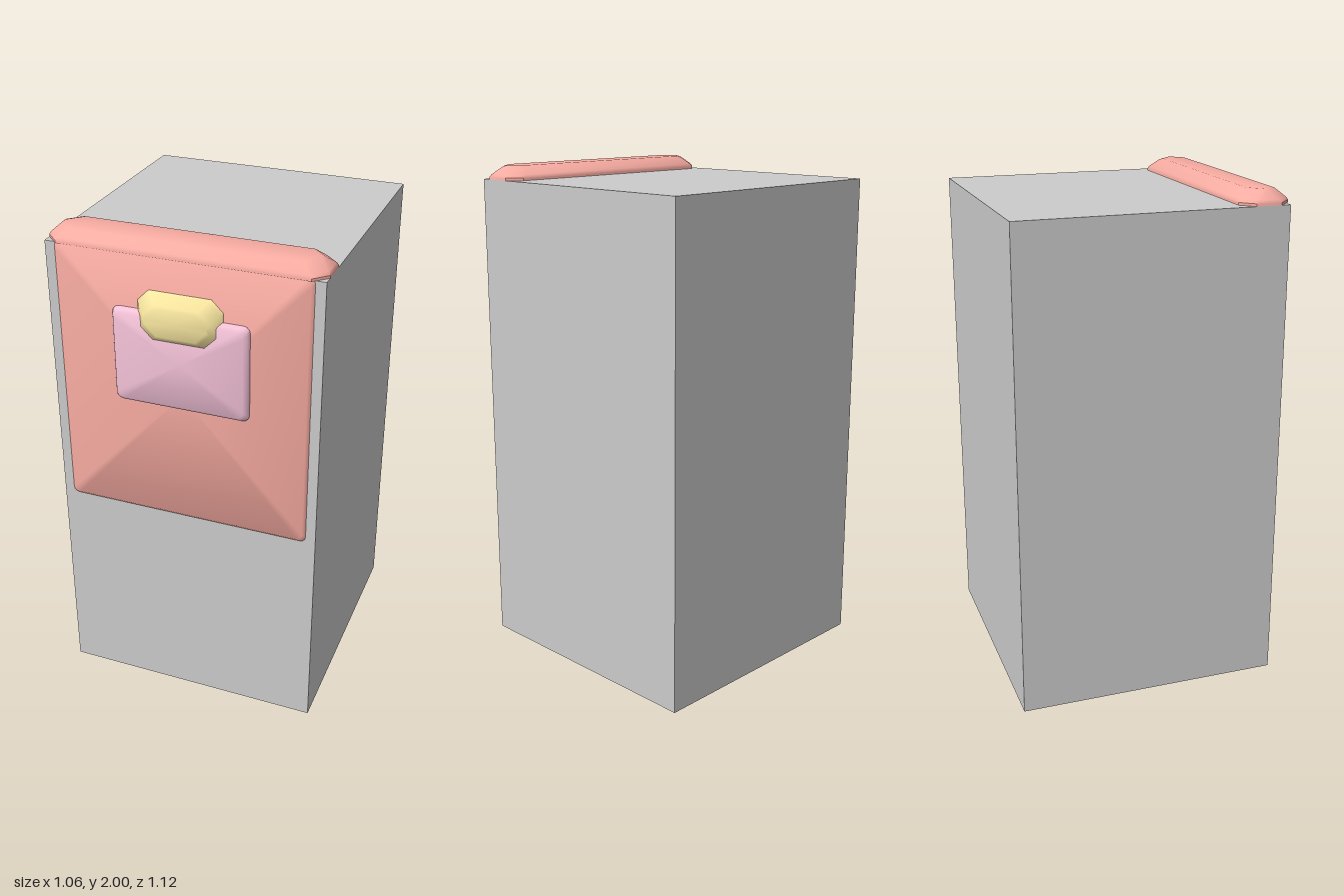
import * as THREE from 'three';
import { toCreasedNormals } from 'three/addons/utils/BufferGeometryUtils.js';

// Outline of a rectangle with cut or rounded corners, counter-clockwise
function outline(hw, hh, corner, segs) {
  const pts = [];
  const signs = [[1, 1], [-1, 1], [-1, -1], [1, -1]];
  signs.forEach(([sx, sy], q) => {
    for (let i = 0; i <= segs; i++) {
      const a = (q + i / segs) * Math.PI / 2;
      pts.push([sx * (hw - corner) + Math.cos(a) * corner, sy * (hh - corner) + Math.sin(a) * corner]);
    }
  });
  return pts;
}

// Slab facing +z; levels lists [inset, z] from back to front
function slab(width, height, corner, segs, levels, crease) {
  const rings = levels.map(([inset, z]) =>
    outline(width / 2 - inset, height / 2 - inset, corner, segs).map(([x, y]) => [x, y, z]));
  const n = rings[0].length;
  const pos = [];
  const tri = (a, b, c) => pos.push(...a, ...b, ...c);
  for (let k = 0; k < rings.length - 1; k++) {
    for (let i = 0; i < n; i++) {
      const j = (i + 1) % n;
      const [a, b, c, d] = [rings[k][i], rings[k][j], rings[k + 1][j], rings[k + 1][i]];
      tri(a, b, c);
      tri(a, c, d);
    }
  }
  const back = rings[0], front = rings[rings.length - 1];
  for (let i = 0; i < n; i++) {
    const j = (i + 1) % n;
    tri([0, 0, front[0][2]], front[i], front[j]);
    tri([0, 0, back[0][2]], back[j], back[i]);
  }
  const geo = new THREE.BufferGeometry();
  geo.setAttribute('position', new THREE.Float32BufferAttribute(pos, 3));
  return toCreasedNormals(geo, crease);
}

export function createModel() {
  const group = new THREE.Group();
  const add = (name, geo, color, x, y, z) => {
    const mesh = new THREE.Mesh(geo, new THREE.MeshStandardMaterial({ color }));
    mesh.name = name;
    mesh.position.set(x, y, z);
    group.add(mesh);
    return mesh;
  };
  const salmon = 0xf8aca2, pink = 0xf4c2d8, yellow = 0xf8e6a0;

  // Plain box body
  add('body', new THREE.BoxGeometry(1.06, 1.945, 1.06), 0xcccccc, 0, 0.9725, -0.03);

  // Front flap, hanging from the top rail
  add('frontFlap', slab(0.99, 1.09, 0.022, 3,
    [[0, 0], [0, 0.04], [0.004, 0.05], [0.016, 0.06]], 0.7), salmon, 0, 1.412, 0.45);

  // Chamfered rail across the top front edge
  const rail = add('topRail', slab(1.06, 0.2, 0.05, 1,
    [[0, 0], [0, 0.01], [0.006, 0.02], [0.038, 0.05], [0.05, 0.055]], 0.7), salmon, 0, 1.945, 0.412);
  rail.rotation.x = -Math.PI / 2;

  // Clasp plate and the raised button on it
  add('claspPlate', slab(0.53, 0.38, 0.025, 3,
    [[0, 0], [0, 0.035], [0.006, 0.046], [0.018, 0.055]], 0.7), pink, 0, 1.55, 0.48);
  add('claspButton', slab(0.33, 0.2, 0.045, 1,
    [[0, 0], [0, 0.025], [0.006, 0.035], [0.036, 0.068], [0.046, 0.075]], 0.7), yellow, 0, 1.72, 0.485);

  return group;
}
